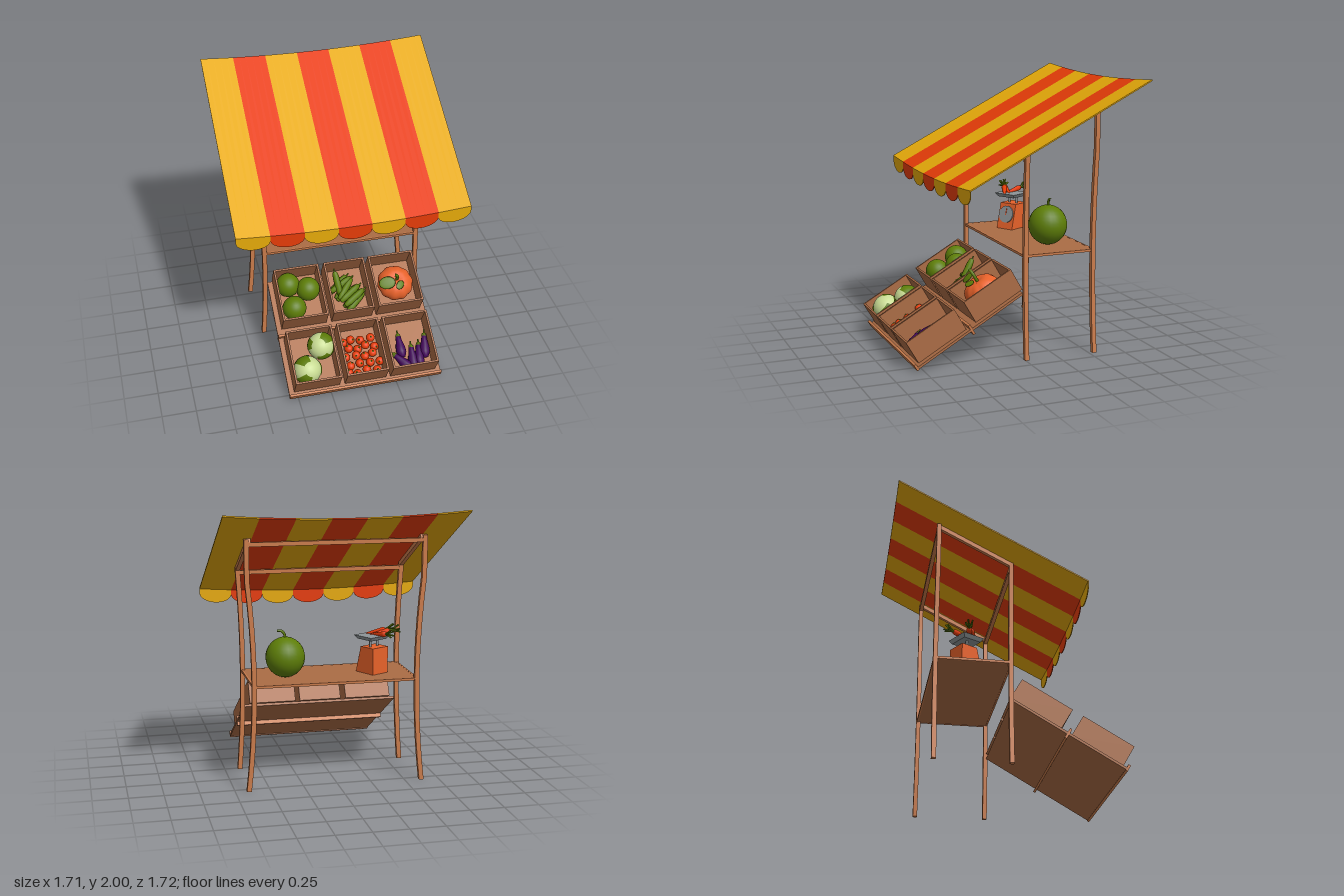
import * as THREE from 'three';

const mat = (name, color) => Object.assign(new THREE.MeshStandardMaterial({ color }), { name });
const M = {
  frame: mat('light wood', 0xca7b4b), panel: mat('brown wood', 0xab6c45),
  yellow: mat('awning yellow', 0xe6aa0a), red: mat('awning red', 0xe63c08),
  orange: mat('orange', 0xe8622a), green: mat('leaf green', 0x5d7d08),
  pale: mat('pale green', 0xc8db93), purple: mat('purple', 0x410458), metal: mat('grey metal', 0x8d9497),
};
const CX = 0.015; // centre of the wooden frame
const V = (x, y, z = 0) => new THREE.Vector3(x, y, z);

function add(parent, name, geo, material, x = 0, y = 0, z = 0, rx = 0, ry = 0, rz = 0) {
  const m = new THREE.Mesh(geo, material);
  m.name = name;
  m.position.set(x, y, z);
  m.rotation.set(rx, ry, rz, 'YXZ');
  parent.add(m);
  return m;
}
function group(parent, name, x = 0, y = 0, z = 0, rx = 0, ry = 0) {
  const g = new THREE.Group();
  g.name = name;
  g.position.set(x, y, z);
  g.rotation.set(rx, ry, 0, 'YXZ');
  parent.add(g);
  return g;
}
const box = (p, name, m, w, h, d, x, y, z, rx = 0) => add(p, name, new THREE.BoxGeometry(w, h, d), m, x, y, z, rx);
function warp(geo, rule) {
  const p = geo.attributes.position;
  for (let i = 0; i < p.count; i++) {
    const v = V(p.getX(i), p.getY(i), p.getZ(i));
    rule(v);
    p.setXYZ(i, v.x, v.y, v.z);
  }
  geo.computeVertexNormals();
  return geo;
}
const lathe = (pts, n = 14) => new THREE.LatheGeometry(pts.map(p => new THREE.Vector2(...p)), n);
const tube = (pts, r) => new THREE.TubeGeometry(new THREE.CatmullRomCurve3(pts), 8, r, 7);

// Sagging awning, striped, with a scalloped valance
const sag = x => -0.035 * (1 - (x / 0.855) ** 2);
function awning(root) {
  const g = group(root, 'awning'), w = 1.71 / 7;
  for (let i = 0; i < 7; i++) {
    const x = (i - 3) * w, m = i % 2 ? M.red : M.yellow;
    const sheet = new THREE.BoxGeometry(w, 0.01, 1.36, 5, 1, 1).translate(x, -0.005, -0.18);
    add(g, 'awningStripe', warp(sheet, v => { v.y += 1.305 + (0.5 - v.z) * 0.511 + sag(v.x); }), m);
    const top = [], bottom = [];
    for (let k = 0; k <= 20; k++) {
      const t = -Math.cos(k / 20 * Math.PI), px = x + t * w / 2, y = 1.3 + sag(px);
      top.unshift(new THREE.Vector2(px, y));
      bottom.push(new THREE.Vector2(px, y - 0.035 - 0.068 * Math.sqrt(Math.max(0, 1 - t * t))));
    }
    const shape = new THREE.Shape([...bottom, ...top]);
    add(g, 'scallop', new THREE.ExtrudeGeometry(shape, { depth: 0.006, bevelEnabled: false }), m, 0, 0, 0.493);
  }
}

// Bowed posts, top rails and shelf
function frame(root) {
  const g = group(root, 'frame', CX);
  for (const s of [-1, 1]) {
    for (const [z, h, spread] of [[-0.01, 1.53, 0.03], [-0.54, 1.8, 0.045]]) {
      const geo = new THREE.BoxGeometry(0.034, h, 0.032, 1, 12, 1).translate(0, h / 2, z);
      add(g, 'post', warp(geo, v => { v.x += s * (0.592 + spread * Math.min(1, ((v.y - 0.76) / 0.76) ** 2)); }), M.frame);
    }
    box(g, 'sideRail', M.frame, 0.03, 0.03, 0.6, s * 0.62, 1.655, -0.275, Math.atan(0.511));
    box(g, 'shelfSideEdge', M.frame, 0.012, 0.018, 0.54, s * 0.596, 0.758, -0.275);
  }
  box(g, 'frontRail', M.frame, 1.24, 0.03, 0.03, 0, 1.494, -0.01);
  box(g, 'backRail', M.frame, 1.26, 0.03, 0.03, 0, 1.764, -0.54);
  for (const z of [-0.004, -0.546]) box(g, 'shelfEdge', M.frame, 1.18, 0.018, 0.012, 0, 0.758, z);
  box(g, 'shelf', M.panel, 1.18, 0.014, 0.53, 0, 0.759, -0.275);
}

function melon(p, r, x, y, z) {
  return add(p, 'melon', new THREE.SphereGeometry(r, 24, 16).scale(1, 1.03, 1), M.green, x, y, z);
}

function carrot(p, x, y, z, ry, rx) {
  const g = group(p, 'carrot', x, y, z, rx, ry);
  add(g, 'carrotRoot', lathe([[0, -0.1], [0.008, -0.09], [0.016, -0.02], [0.021, 0.04], [0.017, 0.058], [0, 0.062]], 10), M.red);
  for (let i = 0; i < 5; i++) {
    const a = i * 1.257, c = Math.cos(a) * 0.03, s = Math.sin(a) * 0.03;
    add(g, 'carrotLeaf', tube([V(0, 0.055), V(c * 0.4, 0.09, s * 0.4), V(c, 0.13, s)], 0.006), M.green);
  }
}

// Weighing scale with sloping face, dial, pan and carrots
function scale(root) {
  const g = group(root, 'weighingScale', -0.31, 0.767, -0.29, 0, 0.5);
  const body = new THREE.BoxGeometry(0.15, 0.195, 0.18).translate(0, 0.0975, 0);
  add(g, 'scaleBody', warp(body, v => { if (v.y > 0.1 && v.z > 0) v.z = 0.04; }), M.orange);
  const face = group(g, 'dial', 0, 0.112, 0.064, -0.25);
  add(face, 'dialFace', new THREE.CylinderGeometry(0.066, 0.066, 0.014, 28), M.metal, 0, 0, 0, Math.PI / 2);
  box(face, 'dialHand', M.red, 0.006, 0.05, 0.004, 0, 0.02, 0.008);
  for (const x of [-0.035, 0.035]) add(g, 'panSupport', new THREE.CylinderGeometry(0.009, 0.009, 0.07, 10), M.metal, x, 0.22, -0.02);
  const pan = new THREE.BoxGeometry(0.19, 0.028, 0.18).translate(0, 0.262, 0);
  add(g, 'pan', warp(pan, v => { if (v.y < 0.26) { v.x *= 0.8; v.z *= 0.8; } }), M.metal);
  carrot(root, -0.39, 1.058, -0.28, 1.45, -1.35);
  carrot(root, -0.36, 1.06, -0.25, 1.2, -1.3);
  carrot(root, -0.36, 1.055, -0.34, 0.45, -1.4);
}

function crate(p, x, z, w) {
  const g = group(p, 'crate', x, 0.01, z), d = 0.412, h = 0.18, t = 0.014;
  box(g, 'crateFloor', M.panel, w - 2 * t, t, d - 2 * t, 0, t / 2, 0);
  for (const s of [-1, 1]) {
    box(g, 'crateSide', M.panel, t, h, d, s * (w - t) / 2, h / 2, 0);
    box(g, 'crateEnd', M.panel, w - 2 * t, h, t, 0, h / 2, s * (d - t) / 2);
  }
}

// Pale head wrapped by green outer leaves of uneven height
function cabbage(p, x, y, z, r, rx, ry) {
  const g = group(p, 'cabbage', x, y, z, rx, ry);
  add(g, 'cabbageHeart', new THREE.SphereGeometry(r, 20, 14), M.pale);
  [0.5, 1.45, 0.85, 1.3, 0.6, 1.6].forEach((start, i) => add(g, 'cabbageLeaf',
    new THREE.SphereGeometry(r * 1.03, 6, 8, i * Math.PI / 3, Math.PI / 3, start, Math.PI - start), M.green));
}

function pumpkin(p, x, y, z) {
  const g = group(p, 'pumpkin', x, y, z);
  const body = warp(new THREE.SphereGeometry(0.138, 50, 16), v => {
    const a = Math.atan2(v.z, v.x), k = 0.975 + 0.025 * Math.cos(a * 10);
    const dip = 0.025 * Math.exp(-((Math.hypot(v.x, v.z) / 0.04) ** 2));
    v.set(v.x * k, v.y * 0.72 - Math.sign(v.y) * dip, v.z * k);
  });
  add(g, 'pumpkinBody', body, M.orange);
  add(g, 'pumpkinStem', tube([V(0, 0.07), V(0, 0.12), V(-0.01, 0.15), V(-0.035, 0.17)], 0.012), M.green);
  add(g, 'pumpkinLeaf', new THREE.SphereGeometry(0.065, 12, 8).scale(1, 0.13, 0.75), M.green, -0.085, 0.105, 0.03, 0.3, 0, 0.15);
  add(g, 'pumpkinLeaf', new THREE.SphereGeometry(0.04, 12, 8).scale(1, 0.15, 0.7), M.green, 0.01, 0.1, 0.06, 0.3, 0.8);
}

function eggplant(p, x, y, z, ry, rx = -1.5) {
  const g = group(p, 'eggplant', x, y, z, rx, ry);
  add(g, 'eggplantBody', lathe([[0, -0.105], [0.024, -0.096], [0.038, -0.06], [0.035, -0.02], [0.023, 0.03], [0.018, 0.07], [0, 0.078]]), M.purple);
  add(g, 'eggplantCap', lathe([[0.022, 0.06], [0.015, 0.08], [0.006, 0.085], [0.006, 0.108], [0, 0.108]], 8), M.green);
}

// Sloping display: two boards with lips, six crates and their produce
function display(root) {
  const g = group(root, 'slopingDisplay', 0, 0.485, 0, Math.PI / 6);
  box(g, 'upperBoard', M.panel, 1.16, 0.018, 0.45, CX, -0.001, 0.225);
  box(g, 'lowerBoard', M.panel, 1.16, 0.018, 0.46, CX, -0.001, 0.69);
  box(g, 'upperLip', M.frame, 1.16, 0.08, 0.018, CX, 0, 0.452);
  box(g, 'lowerLip', M.frame, 1.16, 0.05, 0.018, CX, 0.009, 0.921);
  for (const [x, w] of [[-0.355, 0.345], [0.015, 0.315], [0.38, 0.348]])
    for (const z of [0.187, 0.683]) crate(g, x, z, w);

  melon(g, 0.09, -0.43, 0.108, 0.085);
  melon(g, 0.09, -0.285, 0.108, 0.14);
  melon(g, 0.09, -0.415, 0.108, 0.275);

  // Cucumbers piled diagonally, one leaning on the side
  const cuke = [[0, -0.1], [0.018, -0.092], [0.025, -0.05], [0.025, 0.05], [0.018, 0.09], [0.006, 0.098], [0.005, 0.12], [0, 0.12]];
  for (let i = 0; i < 9; i++) {
    const upper = i > 4, k = upper ? i - 4.5 : i;
    add(g, 'cucumber', lathe(cuke, 10), M.green, -0.04 + k * 0.027, upper ? 0.095 : 0.052, 0.12 + k * 0.04, -1.52, -0.9 + Math.sin(i * 2.3) * 0.22);
  }
  add(g, 'cucumber', lathe(cuke, 10), M.green, -0.055, 0.12, 0.14, -1.05, 0.15);

  pumpkin(g, 0.385, 0.115, 0.2);
  cabbage(g, -0.41, 0.1, 0.765, 0.104, 0.4, 0.5);
  cabbage(g, -0.28, 0.122, 0.605, 0.1, 0.5, -0.9);

  // Tomatoes in staggered, jittered rows
  for (let i = 0; i < 20; i++) {
    const row = Math.floor(i / 4);
    const x = -0.103 + (i % 4) * 0.07 + (row % 2) * 0.028 + Math.sin(i * 5.1) * 0.008;
    const z = 0.585 + row * 0.062 + Math.cos(i * 3.7) * 0.01;
    const t = group(g, 'tomato', x, i % 3 ? 0.057 : 0.07, z, Math.sin(i * 2) * 0.6, i);
    add(t, 'tomatoBody', new THREE.SphereGeometry(0.033, 14, 10).scale(1, 0.93, 1), M.red);
    add(t, 'tomatoStem', new THREE.ConeGeometry(0.011, 0.012, 5), M.green, 0, 0.033, 0);
  }

  eggplant(g, 0.32, 0.066, 0.675, 0);
  eggplant(g, 0.305, 0.062, 0.8, 0.7);
  eggplant(g, 0.395, 0.066, 0.775, -0.05, -1.4);
  eggplant(g, 0.45, 0.062, 0.765, -0.15);
  eggplant(g, 0.505, 0.075, 0.705, -0.15, -1.4);
}

export function createModel() {
  const root = new THREE.Group();
  root.name = 'marketStall';
  awning(root);
  frame(root);
  const big = melon(root, 0.143, 0.34, 0.913, -0.305);
  add(big, 'melonStem', tube([V(0, 0.143), V(0.007, 0.172), V(0.028, 0.193), V(0.06, 0.196)], 0.01), M.green);
  scale(root);
  display(root);
  return root;
}
